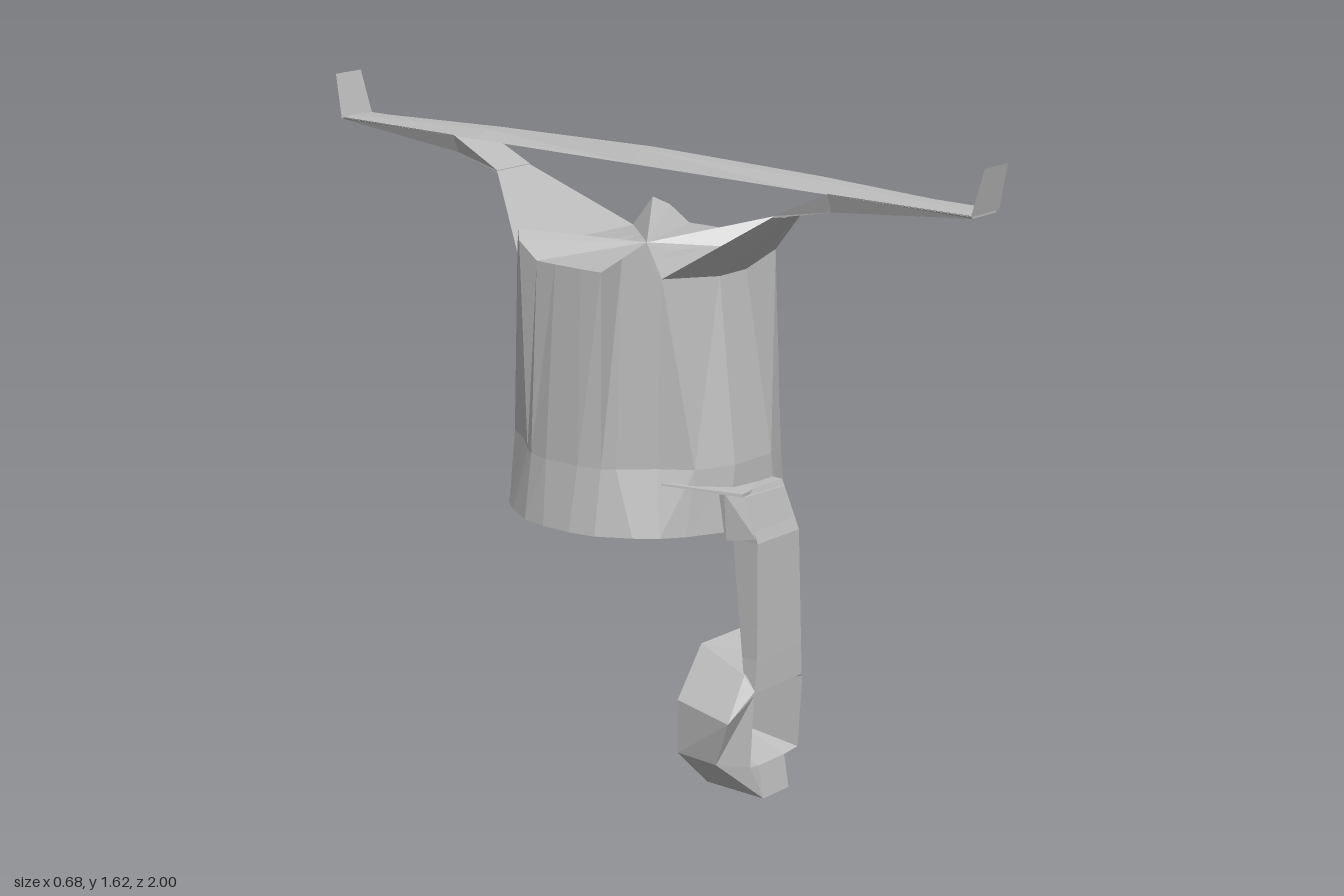
import * as THREE from 'three';

const grey = new THREE.MeshStandardMaterial({ color: 0xbbbbbb, flatShading: true, side: THREE.DoubleSide });
grey.name = 'plain grey';

// Skin a list of equal-length point rings; optionally close the ends with fans.
function loft(rings, { cap = true, loop = false } = {}) {
  const pos = [];
  const tri = (a, b, c) => pos.push(...a, ...b, ...c);
  const n = rings[0].length;
  const last = loop ? rings.length : rings.length - 1;
  for (let r = 0; r < last; r++) {
    const a = rings[r], b = rings[(r + 1) % rings.length];
    for (let i = 0; i < n; i++) {
      const j = (i + 1) % n;
      tri(a[i], b[i], a[j]);
      tri(a[j], b[i], b[j]);
    }
  }
  if (cap && !loop) {
    for (const [ring, flip] of [[rings[0], false], [rings[rings.length - 1], true]]) {
      const c = [0, 1, 2].map(k => ring.reduce((s, p) => s + p[k], 0) / n);
      for (let i = 0; i < n; i++) {
        const p = ring[i], q = ring[(i + 1) % n];
        flip ? tri(c, q, p) : tri(c, p, q);
      }
    }
  }
  const g = new THREE.BufferGeometry();
  g.setAttribute('position', new THREE.Float32BufferAttribute(pos, 3));
  g.computeVertexNormals();
  return g;
}

function part(parent, name, geometry) {
  const m = new THREE.Mesh(geometry, grey);
  m.name = name;
  parent.add(m);
  return m;
}

// Mirror one quadrant of points into a full ring
function fullRing(q) {
  const back = [...q].reverse();
  return [
    ...q,
    ...back.map(([x, y, z]) => [-x, y, z]),
    ...q.map(([x, y, z]) => [-x, y, -z]),
    ...back.map(([x, y, z]) => [x, y, -z]),
  ];
}

export function createModel() {
  const model = new THREE.Group();
  model.name = 'bucketWithBeam';

  // Bucket: flared foot, grooved corners and a rim with four pointed ears
  const foot = fullRing([[.338, .67, .04], [.325, .67, .11], [.28, .67, .19], [.24, .67, .24], [.19, .67, .28], [.09, .67, .33]]);
  const waist = fullRing([[.315, .83, .05], [.3, .83, .11], [.28, .83, .14], [.215, .83, .21], [.165, .83, .285], [.07, .83, .33]]);
  const rim = fullRing([[.288, 1.3, .04], [.285, 1.3, .1], [.28, 1.34, .16], [.25, 1.36, .19], [.215, 1.29, .225], [.05, 1.275, .265]]);
  const lid = rim.map(([x, , z]) => [x * .93, 1.29, z * .93]);
  part(model, 'bucket', loft([foot, waist, rim], { cap: false }));
  part(model, 'lid', loft([rim, lid, lid.map(([x, , z]) => [x * .5, 1.3, z * .5])]).toNonIndexed());

  // Underside: shallow faceted star
  const star = foot.map(([x, , z], i) => [x * .5, Math.floor(i / 3) % 2 ? .72 : .68, z * .5]);
  part(model, 'underside', loft([foot, star, star.map(([x, , z]) => [x * .02, .69, z * .02])], { cap: false }));

  // Long beam with a shallow crown
  const beamRing = ([z, top, w]) => [[-w, 1.51, z], [-w * .4, top, z], [w * .4, top, z], [w, 1.51, z]];
  part(model, 'beam', loft([[-.97, 1.514, .05], [-.5, 1.532, .055], [0, 1.541, .055], [.5, 1.532, .055], [.97, 1.514, .05]].map(beamRing)));

  for (const [s, side] of [[1, 'front'], [-1, 'back']]) {
    const flip = ring => ring.map(([x, y, z]) => [x, y, z * s]);

    // Strut leaning outward from the rim
    part(model, side + 'Strut', loft([
      [[-.215, 1.29, .225], [-.05, 1.275, .265], [.05, 1.275, .265], [.215, 1.29, .225]],
      [[-.06, 1.44, .43], [-.03, 1.435, .44], [.03, 1.435, .44], [.06, 1.44, .43]],
    ].map(flip)));

    // Tapering wedge beneath the beam end
    const wedge = [[.43, 1.442, 1.437, .06, .06], [.58, 1.512, 1.467, .055, .04], [.97, 1.512, 1.505, .05, .045]];
    part(model, side + 'Wedge', loft(wedge.map(([z, t, b, wt, wb]) =>
      flip([[-wt, t, z], [wt, t, z], [wb, b, z], [-wb, b, z]]))));

    // Upright tab at the beam tip
    const tab = new THREE.Shape([[-.055, 0], [.055, 0], [.045, .113], [-.045, .113]].map(p => new THREE.Vector2(...p)));
    const tabMesh = part(model, side + 'Tab', new THREE.ShapeGeometry(tab));
    tabMesh.position.set(0, 1.51, .972 * s);
    tabMesh.rotation.x = .24 * s;
  }

  // Leg hanging from the front of the bucket
  const legRing = ([y, x0, x1, front, back]) => [[x0, y, front], [x1, y, front], [x1, y, back], [x0, y, back]];
  part(model, 'leg', loft([
    [.77, -.08, .075, .36, .28], [.65, -.075, .085, .405, .33], [.36, -.08, .093, .41, .365], [.28, -.088, .097, .41, .38],
  ].map(legRing)));
  part(model, 'legBracket', loft([
    [[-.1, .675, .1], [.1, .675, .1], [.1, .67, .1], [-.1, .67, .1]],
    [[-.11, .77, .33], [.1, .76, .33], [.1, .65, .33], [-.1, .65, .33]],
    [[-.08, .76, .37], [.07, .755, .37], [.08, .66, .4], [-.075, .66, .4]],
  ]));
  part(model, 'legLedge', loft([
    [[-.235, .805, .24], [-.09, .77, .37], [.07, .765, .34]],
    [[-.235, .8, .24], [-.09, .762, .37], [.07, .757, .34]],
  ]));

  // Eight-sided ring with a square hole that funnels toward the front
  const backOuter = [[.05, 0], [.165, .11], [.165, .245], [.075, .365], [-.075, .365], [-.165, .245], [-.165, .11], [-.05, 0]]
    .map(([x, y]) => [x, y, .235]);
  const frontOuter = [[.05, 0, .41], [.172, .11, .27], [.172, .24, .29], [.1, .31, .38],
    [-.09, .32, .38], [-.19, .23, .41], [-.172, .11, .36], [-.05, 0, .41]];
  const frontInner = [[.05, .082, .395], [.097, .09, .4], [.1, .275, .41], [.095, .285, .41],
    [-.088, .285, .41], [-.09, .275, .41], [-.09, .09, .4], [-.05, .082, .395]];
  const hole = [[.05, .13], [.05, .135], [.05, .22], [.05, .225], [-.05, .225], [-.05, .22], [-.05, .135], [-.05, .13]]
    .map(([x, y]) => [x, y, .235]);
  part(model, 'ring', loft([backOuter, frontOuter, frontInner, hole], { loop: true }));

  return model;
}
